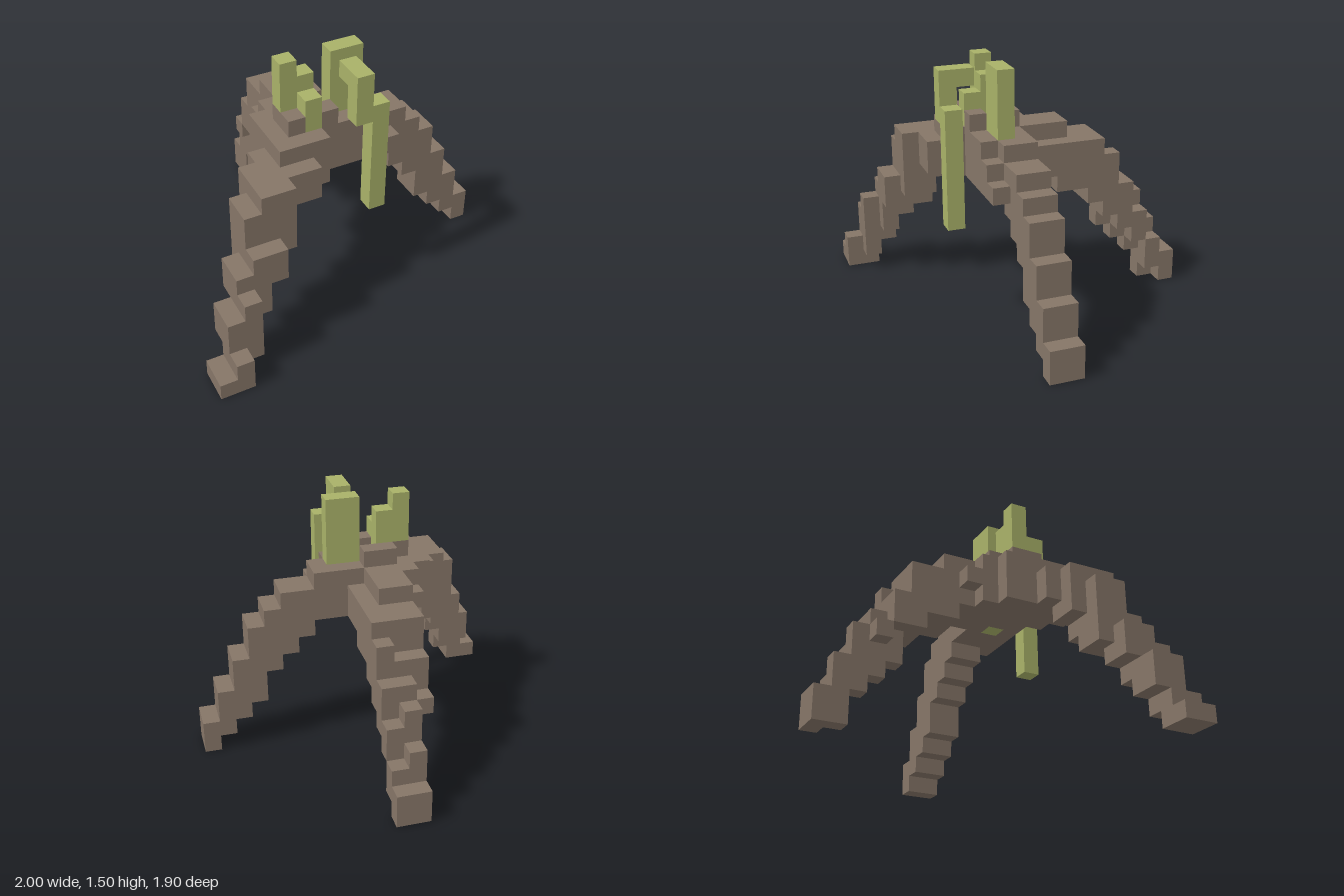
import * as THREE from 'three';

export function createModel() {
  const model = new THREE.Group();
  const bark = new THREE.MeshStandardMaterial({ color: 0x857567 });
  bark.name = 'bark brown';
  const leaf = new THREE.MeshStandardMaterial({ color: 0xa8b168 });
  leaf.name = 'leaf green';

  function part(name) {
    const group = new THREE.Group();
    group.name = name;
    model.add(group);
    return group;
  }

  // Block given by its min and max on each axis
  function block(group, material, x0, x1, y0, y1, z0, z1) {
    const mesh = new THREE.Mesh(new THREE.BoxGeometry(x1 - x0, y1 - y0, z1 - z0), material);
    mesh.position.set((x0 + x1) / 2, (y0 + y1) / 2, (z0 + z1) / 2);
    mesh.name = group.name + 'Block';
    group.add(mesh);
  }

  // Central hub, leaving a gap for the shoot that passes through it
  const hub = part('hub');
  [
    [-0.4, 0.2, 0.8, 1.1, 0.05, 0.15],
    [-0.4, 0, 0.8, 1.1, 0.15, 0.25],
    [0.1, 0.2, 0.8, 1.1, 0.15, 0.25],
    [-0.4, 0.2, 0.8, 1.1, 0.25, 0.35],
    [-0.3, 0, 0.8, 1.1, -0.05, 0.05],
    [0, 0.1, 0.8, 1.0, -0.15, 0.05],
    [-0.2, 0, 0.8, 1.1, -0.15, -0.05],
    [-0.3, -0.2, 0.9, 1.0, -0.15, -0.05],
    [-0.2, 0, 1.1, 1.2, 0.05, 0.15],
    [-0.1, 0, 1.1, 1.2, 0.25, 0.35],
    [-0.3, -0.2, 1.1, 1.2, 0.15, 0.35],
    [0.2, 0.3, 0.8, 1.0, 0.25, 0.35],
    [0.3, 0.4, 0.8, 0.9, 0.25, 0.35],
  ].forEach((b) => block(hub, bark, ...b));

  // Side leg: [bottom, top] of each column going outward
  const sideLeg = part('sideLeg');
  [[0.8, 1.1], [0.7, 1.0], [0.6, 1.0], [0.5, 0.9], [0.3, 0.8], [0.2, 0.6], [0.1, 0.4], [0, 0.2]]
    .forEach(([lo, hi], i) => {
      const x = 0.2 + i * 0.1;
      block(sideLeg, bark, x, x + 0.1, lo, hi, 0.05, 0.25);
    });

  // Back leg: staggered inner and outer halves plus a side ridge
  const backLeg = part('backLeg');
  const backStrips = [
    [0, 0.1, [[0.8, 1.1], [0.7, 1.0], [0.7, 1.0], [0.6, 1.0], [0.5, 0.9], [0.4, 0.7], [0.3, 0.5], [0.1, 0.3], [0, 0.2]]],
    [-0.1, 0, [[0.8, 1.1], [0.7, 1.1], [0.7, 1.0], [0.6, 1.0], [0.4, 0.8], [0.3, 0.7], [0.2, 0.6], [0, 0.4], [0, 0.2]]],
    [-0.2, -0.1, [[0.8, 1.1], [0.7, 1.1], [0.7, 1.0], [0.6, 1.0], [0.6, 0.8], [0.5, 0.6]]],
  ];
  backStrips[0][2][0] = [0.8, 1.0];
  for (const [x0, x1, spans] of backStrips) {
    spans.forEach(([lo, hi], i) => {
      const z = -0.05 - i * 0.1;
      block(backLeg, bark, x0, x1, lo, hi, z - 0.1, z);
    });
  }

  // Diagonal front leg: each cell is the overlap of an x span and a z span
  const frontLeg = part('frontLeg');
  const xSpans = [[0, 0.1], [0, 0.4], [0.1, 0.6], [0.3, 0.9], [0.5, 1.0], [0.6, 1.0], [0.8, 1.1], [0.8, 1.1], [0.8, 1.1]];
  // [bottom, top, first column, end column], from the foot inward
  const zRows = [
    [0, 0.2, 0, 2],
    [0, 0.5, 0, 3],
    [0.2, 0.7, 1, 5],
    [0.4, 1.0, 2, 6],
    [0.5, 1.0, 3, 8],
    [0.7, 1.1, 4, 9],
    [0.8, 1.1, 5, 6],
  ];
  zRows.forEach(([zLo, zHi, from, to], row) => {
    const z = 0.95 - row * 0.1;
    for (let i = from; i < to; i++) {
      const lo = Math.max(zLo, xSpans[i][0]);
      const hi = Math.min(zHi, xSpans[i][1]);
      const x = -1 + i * 0.1;
      if (hi - lo > 0.01) block(frontLeg, bark, x, x + 0.1, lo, hi, z - 0.1, z);
    }
  });

  // Green shoots on top, one running down through the hub
  const shoots = part('shoots');
  [
    [0, 0.1, 0.8, 1.5, 0.15, 0.25],
    [0.1, 0.2, 1.1, 1.5, 0.15, 0.25],
    [-0.3, -0.2, 1.2, 1.5, 0.15, 0.25],
    [-0.2, -0.1, 1.1, 1.4, 0.15, 0.25],
    [-0.2, -0.1, 1.1, 1.3, 0.25, 0.35],
  ].forEach((b) => block(shoots, leaf, ...b));

  // Hanging tendril in front
  const tendril = part('tendril');
  [
    [0, 0.1, 1.4, 1.5, 0.35, 0.45],
    [0, 0.1, 1.2, 1.5, 0.45, 0.55],
    [0.1, 0.2, 0.6, 1.3, 0.45, 0.55],
  ].forEach((b) => block(tendril, leaf, ...b));

  return model;
}
